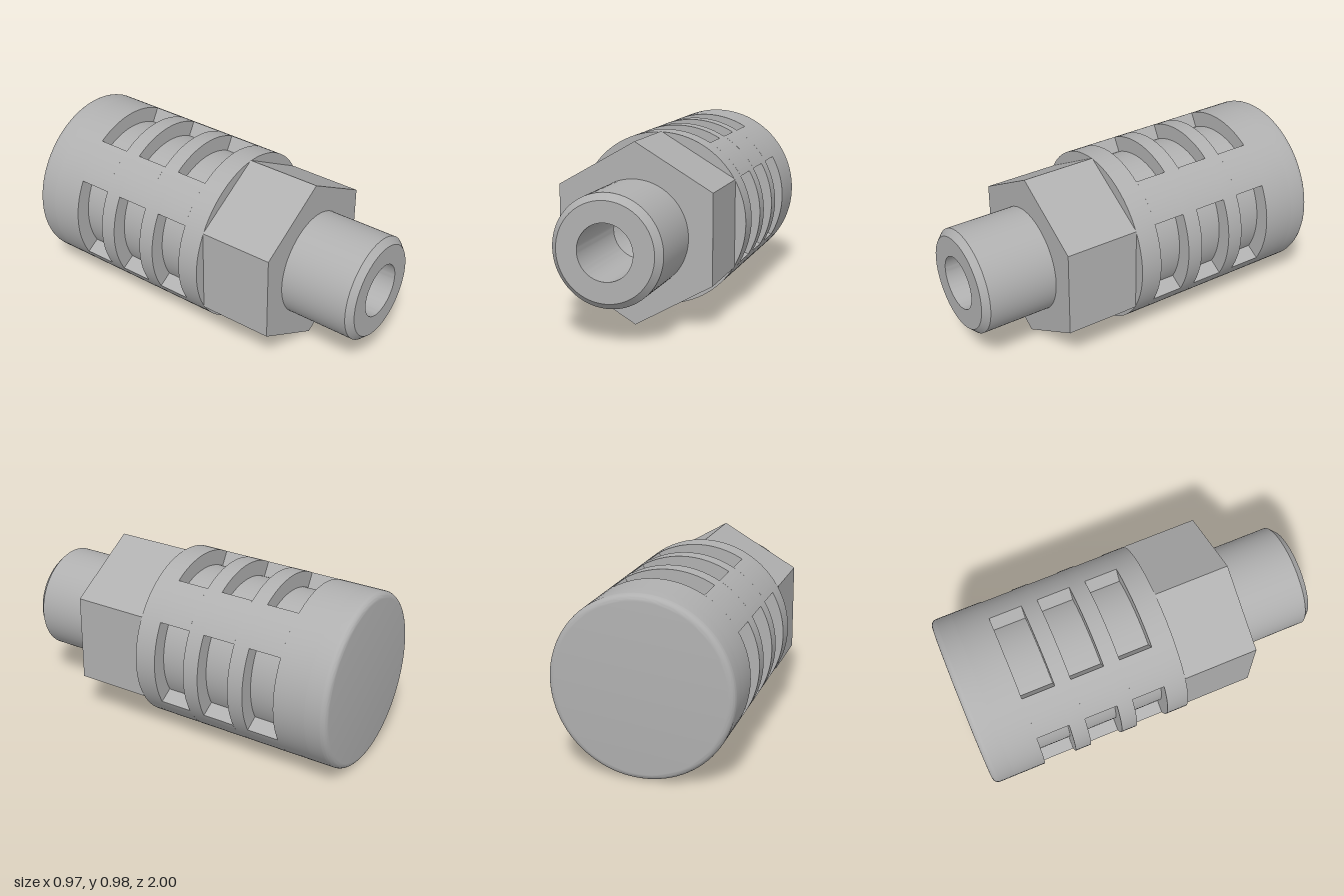
import * as THREE from 'three';
import { toCreasedNormals } from 'three/addons/utils/BufferGeometryUtils.js';

const CENTRE_Y = 0.488; // height of the long axis
const OUTER = 0.484;    // sleeve radius
const CORE = 0.398;     // radius of the slot floors
const HALF_SLOT = Math.PI / 6;

export function createModel() {
  const group = new THREE.Group();
  group.name = 'slottedFitting';
  const metal = new THREE.MeshStandardMaterial({ color: 0xb0b0b0 });
  metal.name = 'grey metal';

  const add = (name, geometry) => {
    const mesh = new THREE.Mesh(toCreasedNormals(geometry, 0.5), metal);
    mesh.name = name;
    mesh.position.y = CENTRE_Y;
    group.add(mesh);
  };

  // Profile points are [radius, z], running from back to front
  const revolve = (name, points) => {
    const profile = points.map(([r, z]) => new THREE.Vector2(r, z));
    add(name, new THREE.LatheGeometry(profile, 96).rotateX(Math.PI / 2));
  };

  const extrude = (name, shape, z0, z1) => {
    const options = { depth: z1 - z0, bevelEnabled: false, curveSegments: 96 };
    add(name, new THREE.ExtrudeGeometry(shape, options).translate(0, 0, z0));
  };

  const circle = (r) => new THREE.Path().absarc(0, 0, r, 0, Math.PI * 2, true);

  // Rounded end cap
  const capPoints = [[0, -1]];
  const fillet = 0.035;
  for (let i = 0; i <= 8; i++) {
    const a = (i / 8) * Math.PI / 2;
    capPoints.push([
      OUTER - fillet + fillet * Math.sin(a),
      -1 + fillet - fillet * Math.cos(a),
    ]);
  }
  capPoints.push([OUTER, -0.88]);
  revolve('endCap', capPoints);

  // Inner core behind the slots
  revolve('core', [[CORE, -0.75], [CORE, 0.1]]);

  // Solid sleeve bands
  const bands = [[-0.88, -0.7], [-0.517, -0.427], [-0.242, -0.152], [0.032, 0.155]];
  for (const [z0, z1] of bands) {
    revolve('sleeveBand', [[CORE, z0], [OUTER, z0], [OUTER, z1], [CORE, z1]]);
  }

  // Four pillars joining the bands, leaving a slot on each side
  for (let i = 0; i < bands.length - 1; i++) {
    for (let k = 0; k < 4; k++) {
      const a0 = k * Math.PI / 2 + HALF_SLOT;
      const a1 = (k + 1) * Math.PI / 2 - HALF_SLOT;
      const sector = new THREE.Shape();
      sector.absarc(0, 0, OUTER, a0, a1, false);
      sector.absarc(0, 0, CORE - 0.01, a1, a0, true);
      extrude('sleevePillar', sector, bands[i][1], bands[i + 1][0]);
    }
  }

  // Closing face of the sleeve around the hexagon
  revolve('sleeveFace', [[OUTER, 0.154], [OUTER, 0.155], [0, 0.155]]);

  // Hexagonal nut section, corners at top and bottom
  const hexagon = new THREE.Shape();
  for (let i = 0; i < 6; i++) {
    const a = Math.PI / 2 + i * Math.PI / 3;
    const x = 0.488 * Math.cos(a), y = 0.488 * Math.sin(a);
    if (i) hexagon.lineTo(x, y); else hexagon.moveTo(x, y);
  }
  hexagon.closePath();
  hexagon.holes.push(circle(0.29));
  extrude('hexNut', hexagon, 0.155, 0.575);

  // Chamfered spigot with a drilled blind bore
  revolve('spigot', [
    [0.293, 0.3], [0.293, 0.965], [0.259, 1],
    [0.148, 1], [0.148, 0.5], [0, 0.41],
  ]);

  return group;
}
